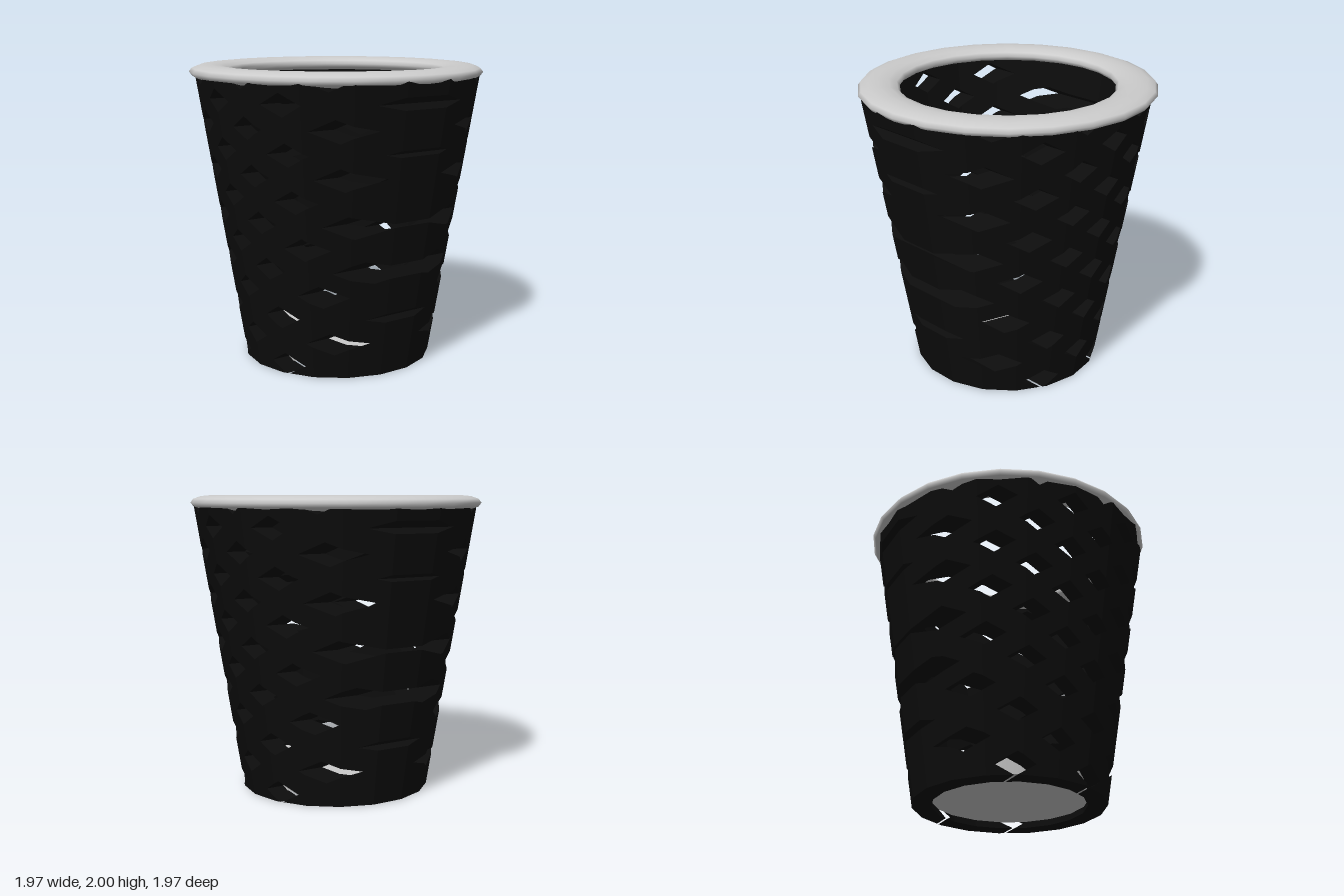
import * as THREE from 'three';

const SIDES = 18, TOP = 1.95, THICK = 0.13, CX = 0.012;
const HOLE_W = 0.118, HOLE_H = 0.075;
const V = (x, y, z) => new THREE.Vector3(x, y, z);

// Diamond hole rows: height and x of each hole on one side (mirrored about CX)
const ROWS = [
  [0.07, [0.257]], [0.237, [0, 0.522]], [0.402, [0.268, 0.77]], [0.567, [0, 0.52]],
  [0.73, [0.237, 0.705]], [0.885, [0, 0.485]], [1.037, [0.232, 0.703]], [1.192, [0, 0.475]],
  [1.342, [0.236, 0.71]], [1.493, [0, 0.478, 0.96]], [1.645, [0.238, 0.73]],
  [1.802, [0, 0.49, 0.98]], [1.96, [0.245, 0.725]],
];

// Plane through three points, facing away from the point "inside"
function planeAway(a, b, c, inside) {
  const p = new THREE.Plane().setFromCoplanarPoints(a, b, c);
  return p.distanceToPoint(inside) > 0 ? p.negate() : p;
}

// Part of a convex polygon behind (side = 1) or in front of (side = -1) a plane
function clip(poly, plane, side) {
  const out = [];
  poly.forEach((a, i) => {
    const b = poly[(i + 1) % poly.length];
    const da = side * plane.distanceToPoint(a), db = side * plane.distanceToPoint(b);
    if (da <= 1e-7) out.push(a);
    if ((da < -1e-7 && db > 1e-7) || (da > 1e-7 && db < -1e-7)) {
      out.push(a.clone().lerp(b, da / (da - db)));
    }
  });
  return area(out) > 1e-8 ? out : [];
}

function normalOf(poly) {
  const n = V(0, 0, 0);
  for (let i = 1; i + 1 < poly.length; i++) {
    n.add(poly[i].clone().sub(poly[0]).cross(poly[i + 1].clone().sub(poly[0])));
  }
  return n;
}
const area = (poly) => (poly.length < 3 ? 0 : normalOf(poly).length() / 2);

// Convex pieces of a polygon that lie outside a convex solid
function subtract(poly, planes) {
  const pieces = [];
  let rest = poly;
  for (const plane of planes) {
    const outside = clip(rest, plane, -1);
    if (outside.length) pieces.push(outside);
    rest = clip(rest, plane, 1);
    if (!rest.length) return [poly];
  }
  return pieces;
}

// Tapered shell pierced front to back by diamond prisms
function latticeWall() {
  const corner = (i, y, inset) => {
    const a = (i / SIDES) * Math.PI * 2, r = 0.643 + 0.164 * y - inset;
    return V(CX + r * Math.sin(a), y, r * Math.cos(a));
  };
  const centre = V(CX, 1, 0);
  const outer = [], inner = [], faces = [];
  for (let i = 0; i < SIDES; i++) {
    const ring = (inset) => [corner(i, 0, inset), corner(i + 1, 0, inset),
      corner(i + 1, TOP, inset), corner(i, TOP, inset)];
    const o = ring(0), n = ring(THICK);
    const po = planeAway(o[0], o[1], o[2], centre), pn = planeAway(n[0], n[1], n[2], centre);
    outer.push(po);
    inner.push(pn);
    faces.push([o, po.normal], [n, pn.normal.clone().negate()]);
    faces.push([[o[0], o[1], n[1], n[0]], V(0, -1, 0)], [[o[3], o[2], n[2], n[3]], V(0, 1, 0)]);
  }
  outer.push(new THREE.Plane(V(0, -1, 0), 0), new THREE.Plane(V(0, 1, 0), -TOP));

  const holes = [];
  for (const [y, xs] of ROWS) {
    for (const x of xs) {
      for (const s of x ? [-1, 1] : [1]) {
        const c = V(CX + s * x, y, 0);
        const tips = [[HOLE_W, 0], [0, HOLE_H], [-HOLE_W, 0], [0, -HOLE_H]];
        const walls = tips.map(([dx, dy], k) => {
          const [ex, ey] = tips[(k + 1) % 4];
          return [V(c.x + dx, y + dy, -2), V(c.x + ex, y + ey, -2),
            V(c.x + ex, y + ey, 2), V(c.x + dx, y + dy, 2)];
        });
        holes.push({ walls, planes: walls.map((w) => planeAway(w[0], w[1], w[2], c)) });
      }
    }
  }

  const position = [];
  const add = (poly, facing) => {
    const p = normalOf(poly).dot(facing) < 0 ? poly.slice().reverse() : poly;
    for (let i = 1; i + 1 < p.length; i++) {
      for (const v of [p[0], p[i], p[i + 1]]) position.push(v.x, v.y, v.z);
    }
  };

  // Shell faces with the holes removed
  for (const [face, facing] of faces) {
    let pieces = [face];
    for (const h of holes) pieces = pieces.flatMap((p) => subtract(p, h.planes));
    pieces.forEach((p) => add(p, facing));
  }
  // Sides of the holes, kept only inside the wall thickness
  for (const h of holes) {
    h.walls.forEach((w, k) => {
      const kept = outer.reduce((p, plane) => clip(p, plane, 1), w);
      if (!kept.length) return;
      const facing = h.planes[k].normal.clone().negate();
      subtract(kept, inner).forEach((p) => add(p, facing));
    });
  }

  const g = new THREE.BufferGeometry();
  g.setAttribute('position', new THREE.Float32BufferAttribute(position, 3));
  g.computeVertexNormals();
  return g;
}

export function createModel() {
  const group = new THREE.Group();
  const grey = new THREE.MeshStandardMaterial({ color: 0xcccccc });
  const black = new THREE.MeshStandardMaterial({ color: 0x0c0c0c });
  const part = (name, geometry, material) => {
    const mesh = new THREE.Mesh(geometry, material);
    mesh.name = name;
    group.add(mesh);
    return mesh;
  };

  part('latticeWall', latticeWall(), black);

  // Flattened ring around the mouth
  const rim = new THREE.TorusGeometry(0.848, 0.138, 12, 24);
  rim.rotateX(Math.PI / 2).scale(1, 0.05 / 0.138, 1);
  part('rim', rim, grey).position.y = 1.95;

  // Thick floor plate, raised off the ground
  const floor = new THREE.CylinderGeometry(0.54, 0.525, 0.105, SIDES);
  part('floor', floor, grey).position.set(CX, 0.0975, 0);

  return group;
}
